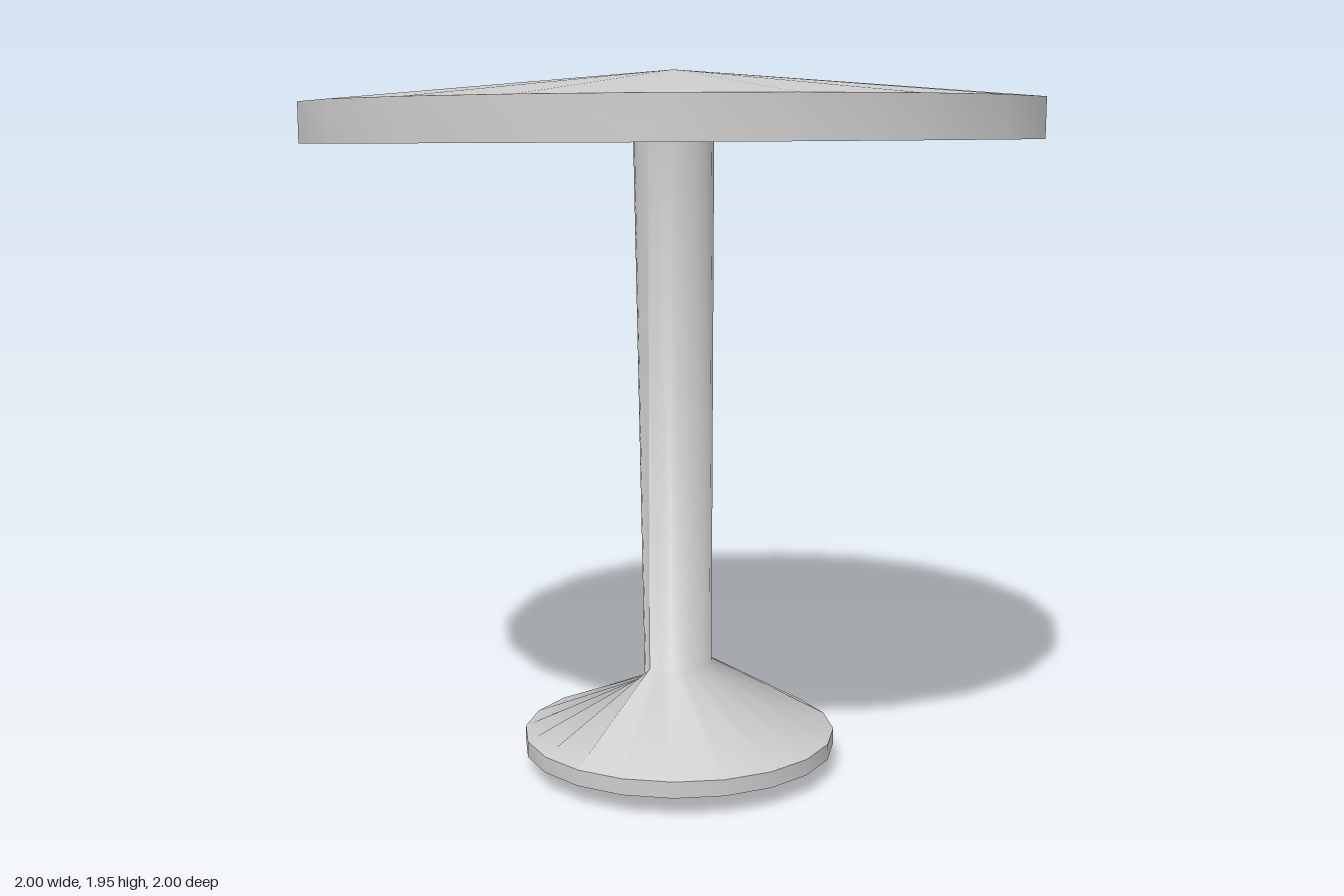
import * as THREE from 'three';
import { toCreasedNormals } from 'three/addons/utils/BufferGeometryUtils.js';

const SIDES = 20;
const material = new THREE.MeshStandardMaterial({ color: 0xcccccc, side: THREE.DoubleSide });

// Revolves [radius, height] pairs, listed from bottom to top.
function turned(profile) {
  return new THREE.LatheGeometry(profile.map(([r, y]) => new THREE.Vector2(r, y)), SIDES);
}

// Moves every vertex by a rule that edits the point in place.
function reshape(geometry, rule) {
  const pos = geometry.attributes.position;
  const p = new THREE.Vector3();
  for (let i = 0; i < pos.count; i++) {
    rule(p.fromBufferAttribute(pos, i));
    pos.setXYZ(i, p.x, p.y, p.z);
  }
  geometry.computeVertexNormals();
  return geometry;
}

function addPart(group, name, geometry) {
  const mesh = new THREE.Mesh(geometry, material);
  mesh.name = name;
  group.add(mesh);
}

export function createModel() {
  const table = new THREE.Group();
  table.name = 'pedestalTable';

  // Tabletop: flat underside, straight rim, shallow conical top, slightly tilted
  const top = reshape(
    turned([[0, 1.757], [1, 1.757], [1, 1.863], [0, 1.947]]),
    (p) => { p.y += 0.0075 * p.x; });
  addPart(table, 'tabletop', toCreasedNormals(top, Math.PI / 6));

  // Stem flaring into the foot; its -x side is pinched in and lowered at the neck
  const stem = reshape(
    turned([[0.44, 0.1], [0.108, 0.295], [0.11, 1.76]]),
    (p) => {
      if (p.y < 0.2) {
        p.y += 0.0057 * p.x;
        p.x += 0.02;
      } else if (p.y < 1 && p.x < 0) {
        p.y += 0.46 * p.x;
        p.x *= 0.55;
      }
    });
  addPart(table, 'stem', stem);

  // Foot rim and its shallow pointed underside
  const foot = reshape(
    turned([[0, 0], [0.44, 0.055], [0.44, 0.1]]),
    (p) => {
      p.y += 0.0057 * p.x;
      p.x += 0.02;
    });
  addPart(table, 'foot', toCreasedNormals(foot, Math.PI / 6));

  return table;
}
